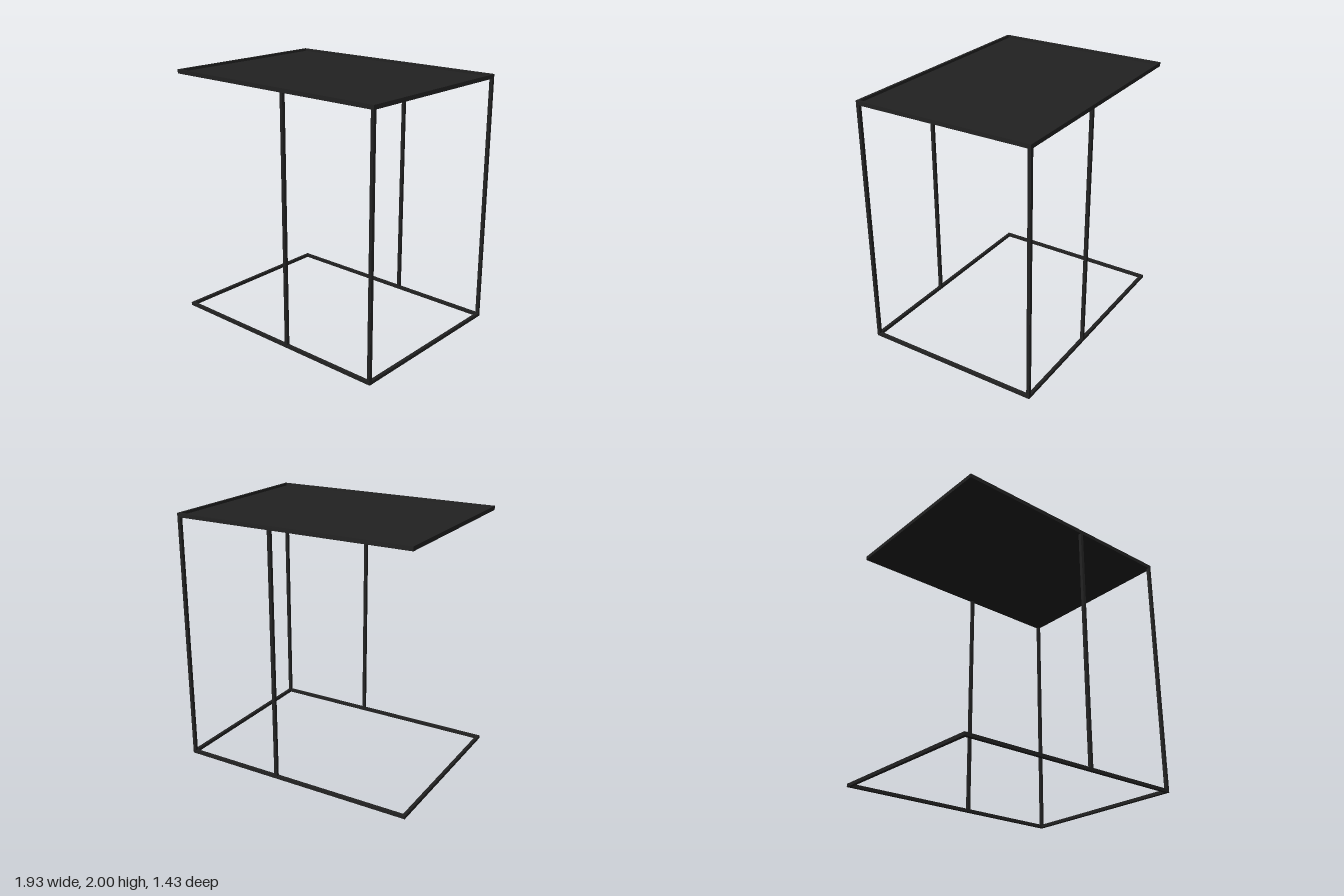
import * as THREE from 'three';

export function createModel() {
  const group = new THREE.Group();
  const mat = new THREE.MeshStandardMaterial({ color: 0x222222 });
  const X = 0.967, Z = 0.717, H = 2; // half width, half depth, height
  const T = 0.025;                   // bar thickness
  const RIM = 0.032, FLOOR = 0.012;  // tray rim height and floor thickness

  const box = (name, w, h, d, x, y, z) => {
    const mesh = new THREE.Mesh(new THREE.BoxGeometry(w, h, d), mat);
    mesh.name = name;
    mesh.position.set(x, y, z);
    group.add(mesh);
  };

  // Rectangular ring lying flat, with its underside at height y
  const ring = (name, wall, h, y) => {
    const rect = (P, x, z) => {
      const p = new P();
      p.moveTo(-x, -z).lineTo(x, -z).lineTo(x, z).lineTo(-x, z).closePath();
      return p;
    };
    const shape = rect(THREE.Shape, X, Z);
    shape.holes.push(rect(THREE.Path, X - wall, Z - wall));
    const geo = new THREE.ExtrudeGeometry(shape, { depth: h, bevelEnabled: false });
    geo.rotateX(-Math.PI / 2);
    const mesh = new THREE.Mesh(geo, mat);
    mesh.name = name;
    mesh.position.y = y;
    group.add(mesh);
  };

  // Floor frame
  ring('baseFrame', T, T, 0);

  // Tray top: thin raised rim around a slightly sunken panel
  ring('trayRim', 0.02, RIM, H - RIM);
  box('trayPanel', 2 * (X - 0.02), FLOOR, 2 * (Z - 0.02), 0, H - RIM + FLOOR / 2, 0);

  // Corner legs on the left side and middle posts, front and back
  const legH = H - RIM - T;
  for (const s of [1, -1]) {
    const side = s > 0 ? 'front' : 'back';
    const z = s * (Z - T / 2);
    box(side + 'CornerLeg', T, legH, T, X - T / 2, T + legH / 2, z);
    box(side + 'MiddlePost', T, legH, T, 0.148, T + legH / 2, z);
  }

  return group;
}
